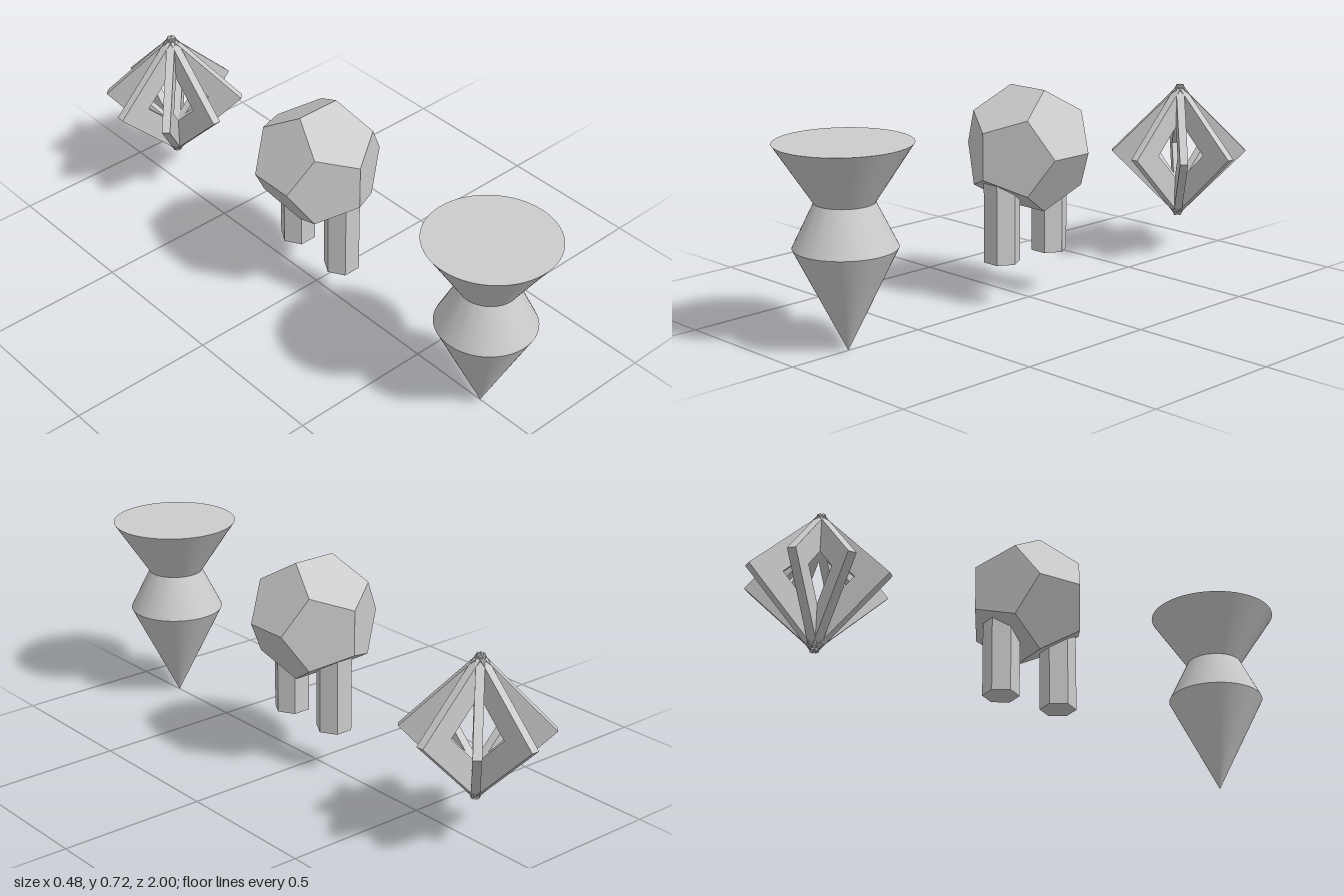
import * as THREE from 'three';
import { toCreasedNormals } from 'three/addons/utils/BufferGeometryUtils.js';

const smooth = new THREE.MeshStandardMaterial({ color: 0xcccccc });
const faceted = new THREE.MeshStandardMaterial({ color: 0xcccccc, flatShading: true });

function add(parent, name, geometry, material, x = 0, y = 0, z = 0) {
  const mesh = new THREE.Mesh(geometry, material);
  mesh.name = name;
  mesh.position.set(x, y, z);
  parent.add(mesh);
  return mesh;
}

// Diamond outline with its points on the axes
function diamond(r, Type) {
  const d = new Type();
  d.moveTo(r, 0);
  d.lineTo(0, r);
  d.lineTo(-r, 0);
  d.lineTo(0, -r);
  d.closePath();
  return d;
}

export function createModel() {
  const model = new THREE.Group();
  model.name = 'abstractShapes';

  // Spinning top: pointed cone, narrowing waist, flared flat-topped cup
  const profile = [[0, 0], [0.163, 0.33], [0.094, 0.47], [0.215, 0.654], [0, 0.654]]
    .map(([r, y]) => new THREE.Vector2(r, y));
  const lathe = toCreasedNormals(new THREE.LatheGeometry(profile, 72), 0.5);
  add(model, 'spinningTop', lathe, smooth, 0, 0, 0.785);

  // Twelve-sided body on two hexagonal legs
  const creature = new THREE.Group();
  creature.name = 'leggedBody';
  add(creature, 'body', new THREE.DodecahedronGeometry(0.217), faceted, 0, 0.515, 0.008);
  for (const [name, z] of [['frontLeg', 0.126], ['backLeg', -0.094]]) {
    const leg = new THREE.CylinderGeometry(0.061, 0.061, 0.27, 6);
    leg.rotateY(Math.PI / 2); // corners point to the sides
    add(creature, name, leg, faceted, 0, 0.285, z);
  }
  model.add(creature);

  // Star of four crossed diamond frames
  const star = new THREE.Group();
  star.name = 'frameStar';
  star.position.set(0, 0.385, -0.762);
  const outline = diamond(0.24, THREE.Shape);
  outline.holes.push(diamond(0.125, THREE.Path));
  const frame = new THREE.ExtrudeGeometry(outline, { depth: 0.028, bevelEnabled: false });
  frame.translate(0, 0, -0.014);
  for (let i = 0; i < 4; i++) {
    add(star, `diamondFrame${i + 1}`, frame, faceted).rotation.y = i * Math.PI / 4;
  }
  model.add(star);

  return model;
}
